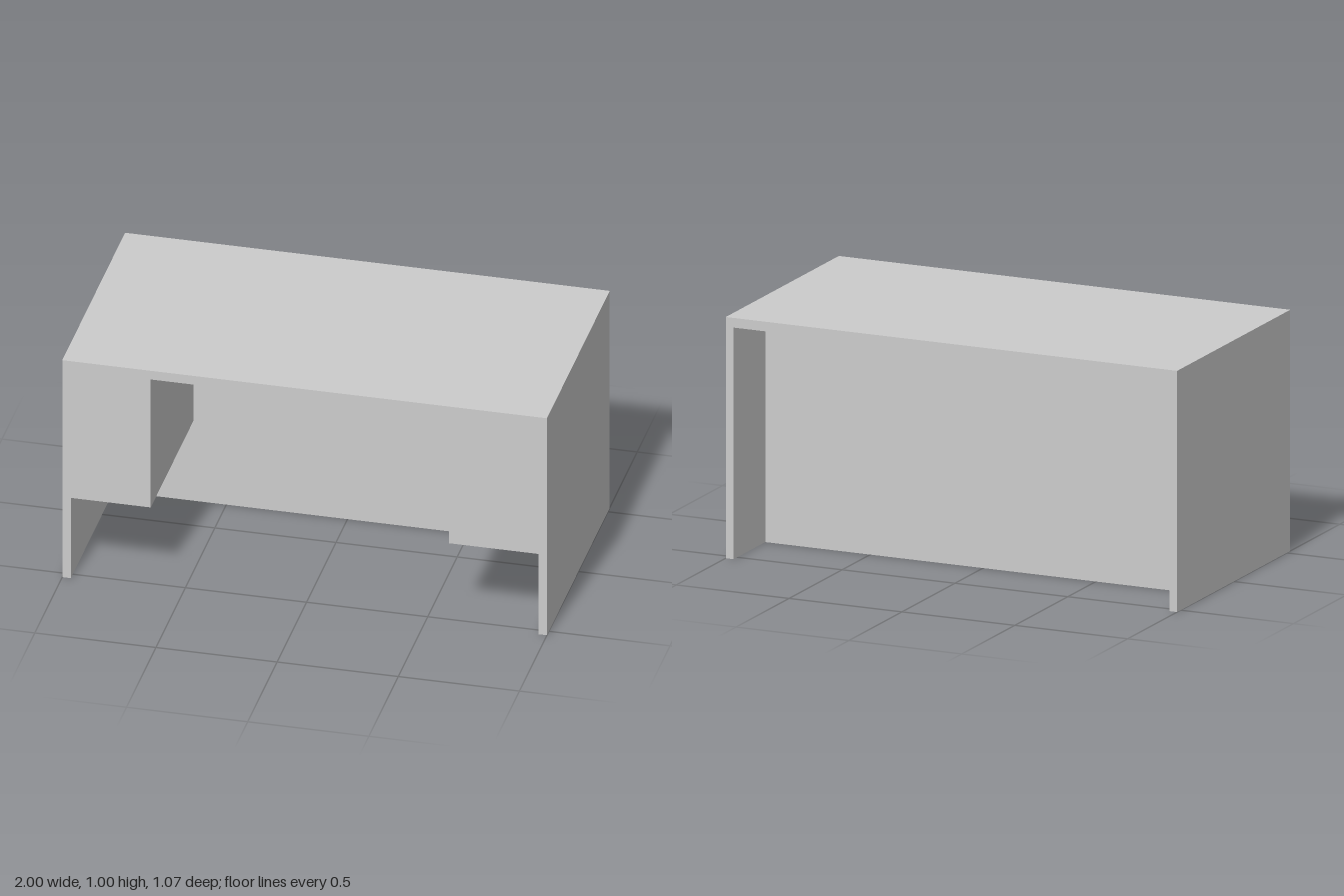
import * as THREE from 'three';

export function createModel() {
  const desk = new THREE.Group();
  desk.name = 'desk';
  const grey = new THREE.MeshStandardMaterial({ color: 0xcccccc });
  grey.name = 'grey laminate';

  // Adds a box spanning the given ranges
  const slab = (name, [x0, x1], [y0, y1], [z0, z1]) => {
    const mesh = new THREE.Mesh(new THREE.BoxGeometry(x1 - x0, y1 - y0, z1 - z0), grey);
    mesh.name = name;
    mesh.position.set((x0 + x1) / 2, (y0 + y1) / 2, (z0 + z1) / 2);
    desk.add(mesh);
  };

  const depth = [-0.533, 0.533];
  const inner = 0.965;      // inside face of the side panels
  const underside = 0.96;   // bottom of the desktop
  const panelFront = -0.195;

  // Desktop and the two full-depth side panels
  slab('desktop', [-1, 1], [underside, 1], depth);
  slab('leftSidePanel', [inner, 1], [0, underside], depth);
  slab('rightSidePanel', [-1, -inner], [0, underside], depth);

  // Recessed panel across the back
  slab('modestyPanel', [-inner, inner], [0, underside], [panelFront - 0.04, panelFront]);

  // Hanging drawer units, the left one slightly wider
  slab('leftDrawerUnit', [0.595, inner], [0.37, underside], [panelFront, 0.533]);
  slab('rightDrawerUnit', [-inner, -0.635], [0.37, underside], [panelFront, 0.533]);

  return desk;
}
